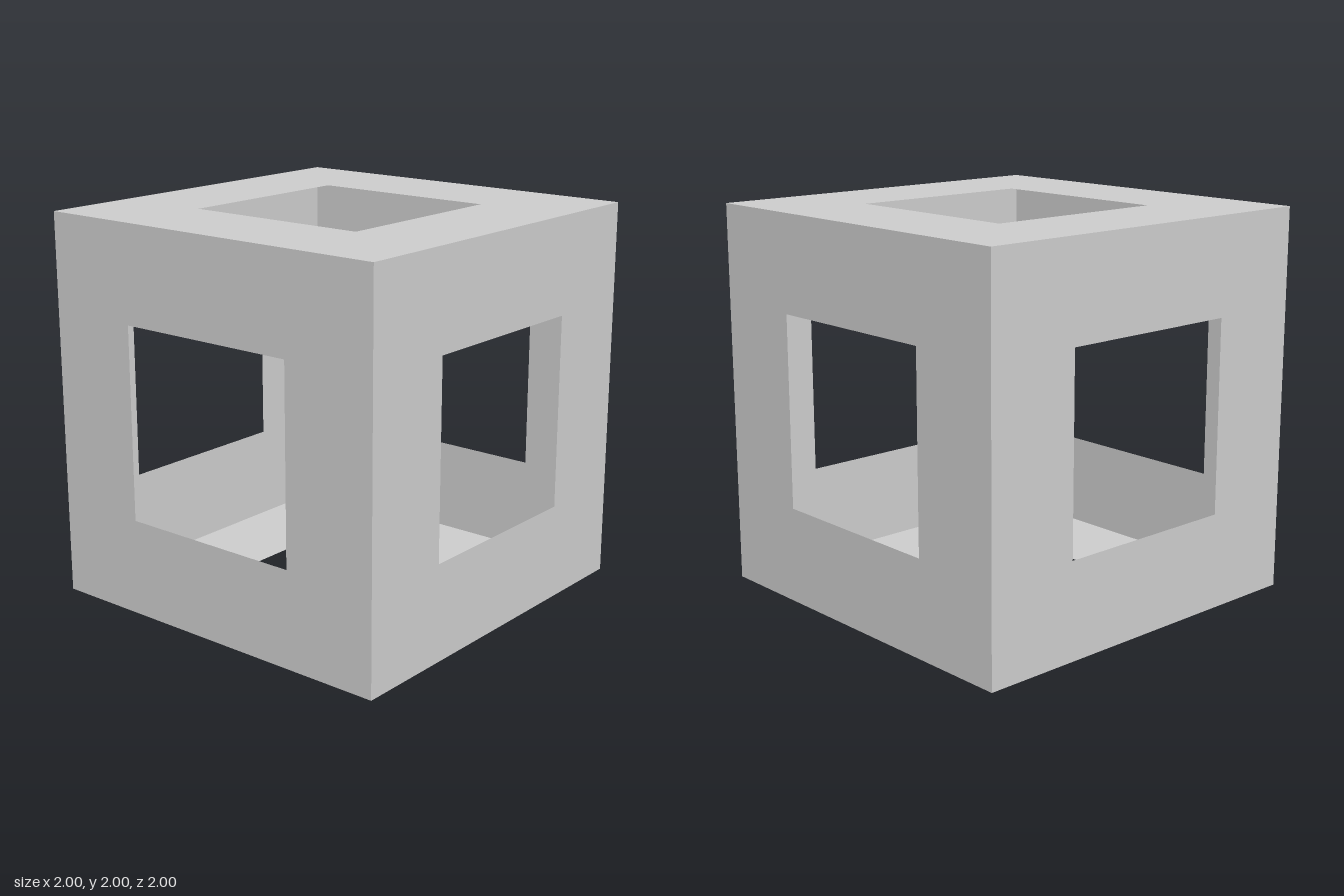
import * as THREE from 'three';

// Square outline of the given half width, centred on the origin
function square(Type, h) {
  return new Type([[-h, -h], [h, -h], [h, h], [-h, h]].map(([x, y]) => new THREE.Vector2(x, y)));
}

export function createModel() {
  const model = new THREE.Group();
  model.name = 'hollowCube';
  const material = new THREE.MeshStandardMaterial({ color: 0xcccccc, side: THREE.DoubleSide });

  // Paper-thin wall with a square window, facing +z and pushed out to the cube's side
  const shape = square(THREE.Shape, 1);
  shape.holes.push(square(THREE.Path, 0.5));
  const wall = new THREE.ShapeGeometry(shape).translate(0, 0, 1);

  // Six walls: the same panel turned to each side [name, turn about x, turn about y]
  const q = Math.PI / 2;
  const sides = [
    ['frontWall', 0, 0],
    ['backWall', 0, 2 * q],
    ['leftWall', 0, q],
    ['rightWall', 0, -q],
    ['topWall', -q, 0],
    ['bottomWall', q, 0],
  ];
  for (const [name, rx, ry] of sides) {
    const mesh = new THREE.Mesh(wall, material);
    mesh.name = name;
    mesh.rotation.set(rx, ry, 0);
    mesh.position.y = 1;
    model.add(mesh);
  }
  return model;
}
